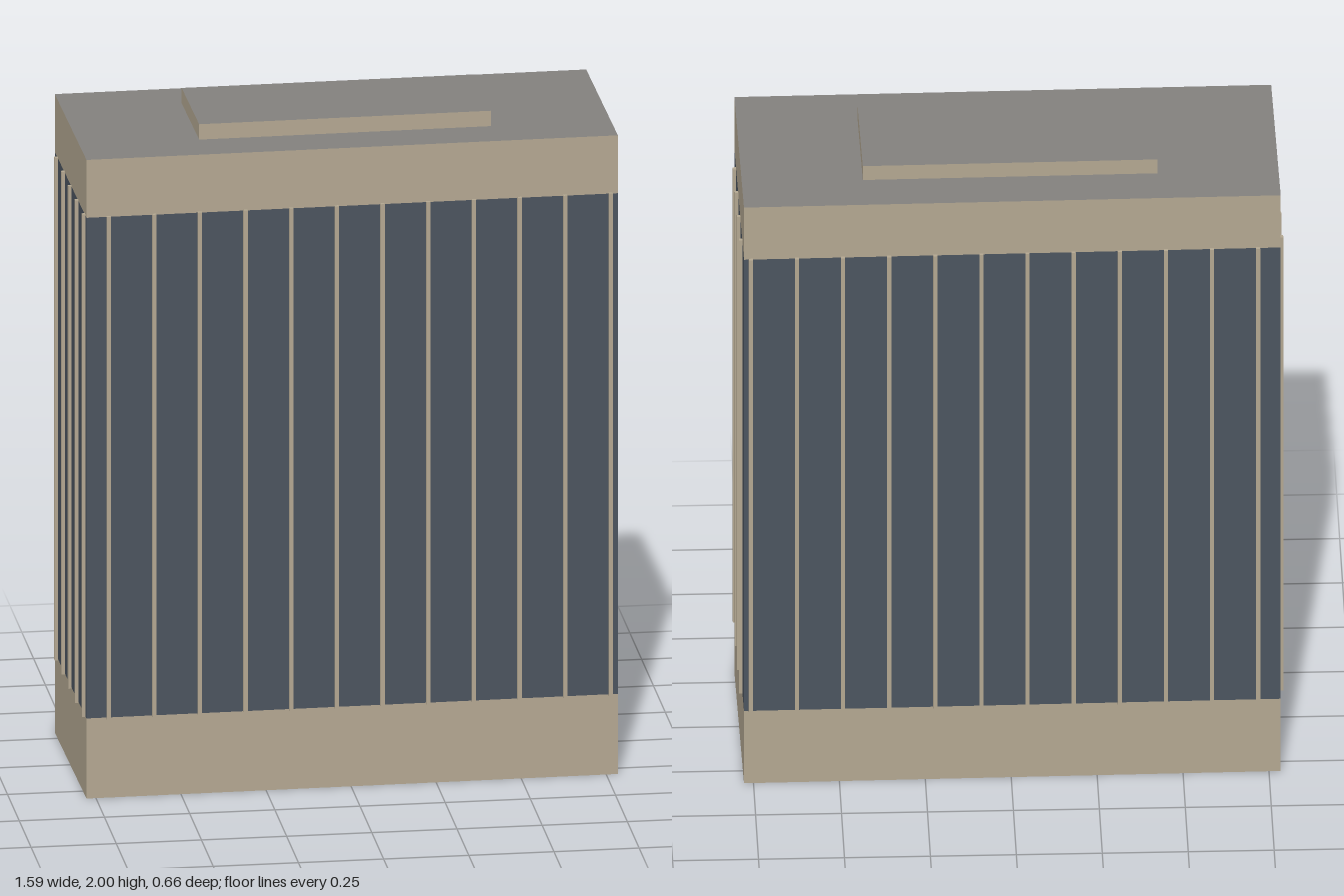
import * as THREE from 'three';

export function createModel() {
  const model = new THREE.Group();
  model.name = 'officeBlock';

  const material = (name, color) => {
    const m = new THREE.MeshStandardMaterial({ color });
    m.name = name;
    return m;
  };
  const stone = material('sandStone', 0xb3a791);
  const glass = material('darkGlass', 0x4b545f);
  const roofing = material('greyRoofing', 0x83817e);

  const box = (name, w, d, y0, y1, mat, x = 0, z = 0) => {
    const mesh = new THREE.Mesh(new THREE.BoxGeometry(w, y1 - y0, d), mat);
    mesh.position.set(x, (y0 + y1) / 2, z);
    mesh.name = name;
    model.add(mesh);
  };

  const W = 1.562, D = 0.624;
  const glassBottom = 0.245, glassTop = 1.776, roofY = 1.953;
  // Box face order: +x, -x, +y, -y, +z, -z
  const roofed = [stone, stone, roofing, stone, stone, stone];

  // Stacked main volumes
  box('base', W, D, 0, glassBottom, stone);
  box('glassStorey', W, D, glassBottom, glassTop, glass);
  box('parapet', W, D, glassTop, roofY, roofed);
  box('roofPlantRoom', 0.858, 0.344, roofY, 2, roofed);

  // Thin vertical fins, spaced evenly along each wall
  const step = 0.1342, thick = 0.012, out = 0.01;
  const fin = (x, z) =>
    box('fin', thick, thick, glassBottom - 0.003, glassTop + 0.003, stone, x, z);
  const offX = W / 2 + out - thick / 2, offZ = D / 2 + out - thick / 2;
  for (let i = 0; i < 12; i++) {
    fin(-0.717 + i * step, offZ);
    fin(-0.715 + i * step, -offZ);
  }
  for (let i = 0; i < 4; i++) fin(offX, -0.203 + i * step);
  for (let i = 0; i < 5; i++) fin(-offX, -0.254 + i * step);

  // The block stands slightly turned on its plot
  model.rotation.y = 0.0105;
  const root = new THREE.Group();
  root.name = 'building';
  root.add(model);
  return root;
}
